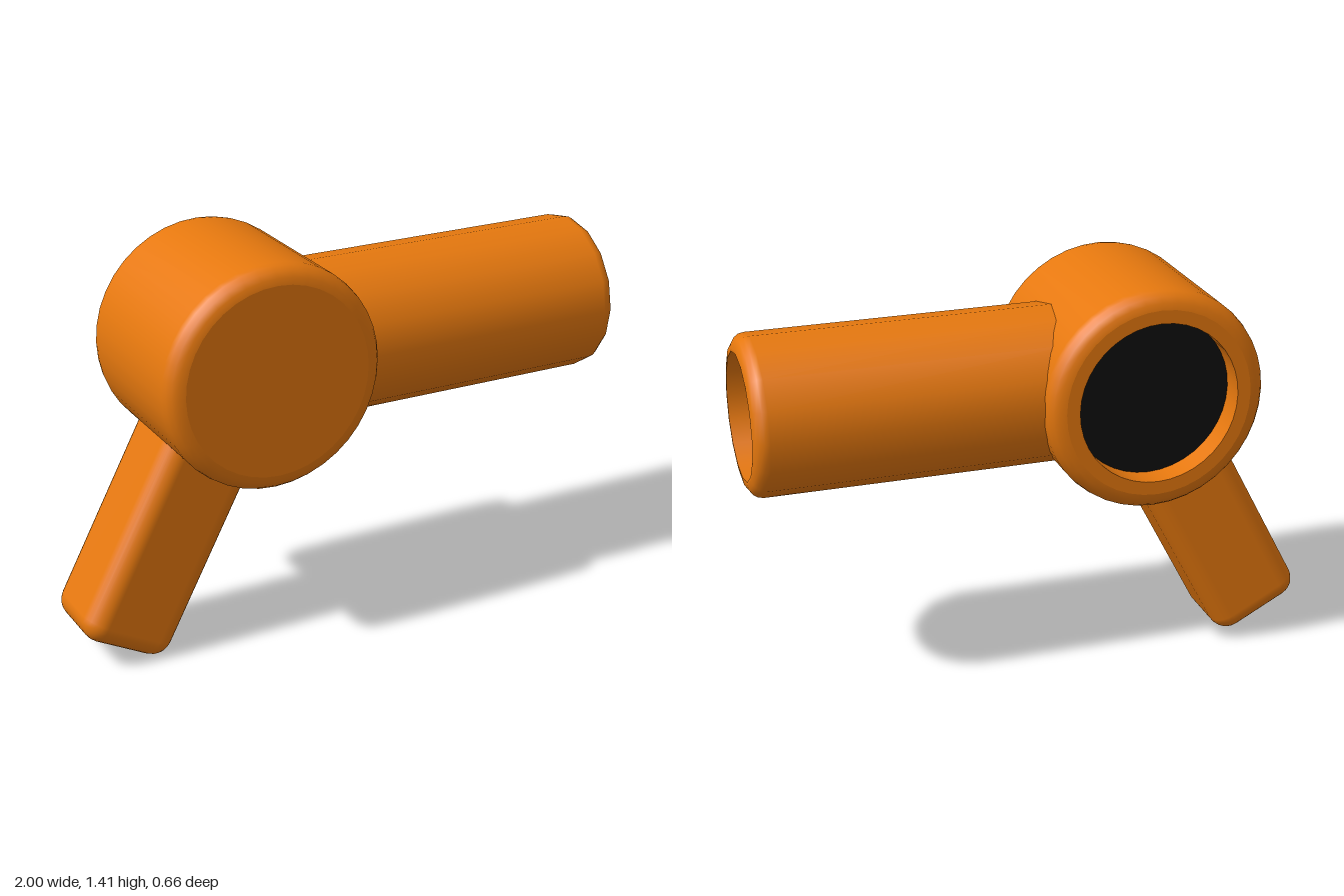
import * as THREE from 'three';
import { RoundedBoxGeometry } from 'three/addons/geometries/RoundedBoxGeometry.js';

const orange = new THREE.MeshStandardMaterial({ color: 0xe6780e });
const black = new THREE.MeshStandardMaterial({ color: 0x0d0d0d });

// Rounded edge of radius b, from angle a0 to a1 around (x, y)
function bevel(x, y, b, a0, a1) {
  const pts = [];
  for (let i = 0; i <= 4; i++) {
    const a = a0 + (a1 - a0) * i / 4;
    pts.push([x + b * Math.cos(a), y + b * Math.sin(a)]);
  }
  return pts;
}

// Cylinder along y: rounded rims, closed base, recessed black disc at the top
function recessedCylinder(name, r, length, b, hole, depth, sides, roundBase) {
  const group = new THREE.Group();
  group.name = name;
  const add = (part, pts, material = orange) => {
    const geometry = new THREE.LatheGeometry(pts.map(p => new THREE.Vector2(...p)), sides);
    const mesh = new THREE.Mesh(geometry, material);
    mesh.name = part;
    group.add(mesh);
  };
  const base = roundBase ? bevel(r - b, b, b, -Math.PI / 2, 0) : [[r, 0]];
  add(name + 'Base', [[0, 0], [base[0][0], 0]]);
  add(name + 'Shell', [...base, ...bevel(r - b, length - b, b, 0, Math.PI / 2)]);
  add(name + 'Rim', [[r - b, length], [hole, length]]);
  add(name + 'InnerWall', [[hole, length], [hole, length - depth]]);
  add(name + 'Floor', [[hole, length - depth], [0, length - depth]], black);
  return group;
}

export function createModel() {
  const model = new THREE.Group();
  const cx = -0.37, cy = 1.02;

  // Round housing, closed at the front and recessed at the back
  const housing = recessedCylinder('housing', 0.392, 0.66, 0.06, 0.285, 0.09, 40, true);
  housing.rotation.x = -Math.PI / 2;
  housing.position.set(cx, cy, 0.33);
  model.add(housing);

  // Sixteen-sided nozzle with an open end
  const nozzle = recessedCylinder('nozzle', 0.278, 1.1, 0.05, 0.22, 0.18, 16, false);
  nozzle.rotation.z = -Math.PI / 2;
  nozzle.position.set(-0.1, cy, 0);
  model.add(nozzle);

  // Slanted handle, rooted inside the housing
  const start = 0.2, end = 1.085, tilt = 0.485;
  const handle = new THREE.Mesh(new RoundedBoxGeometry(0.345, end - start, 0.322, 3, 0.07), orange);
  handle.name = 'handle';
  const mid = (start + end) / 2;
  handle.rotation.z = -tilt;
  handle.position.set(cx - Math.sin(tilt) * mid, cy - Math.cos(tilt) * mid, 0);
  model.add(handle);

  return model;
}
